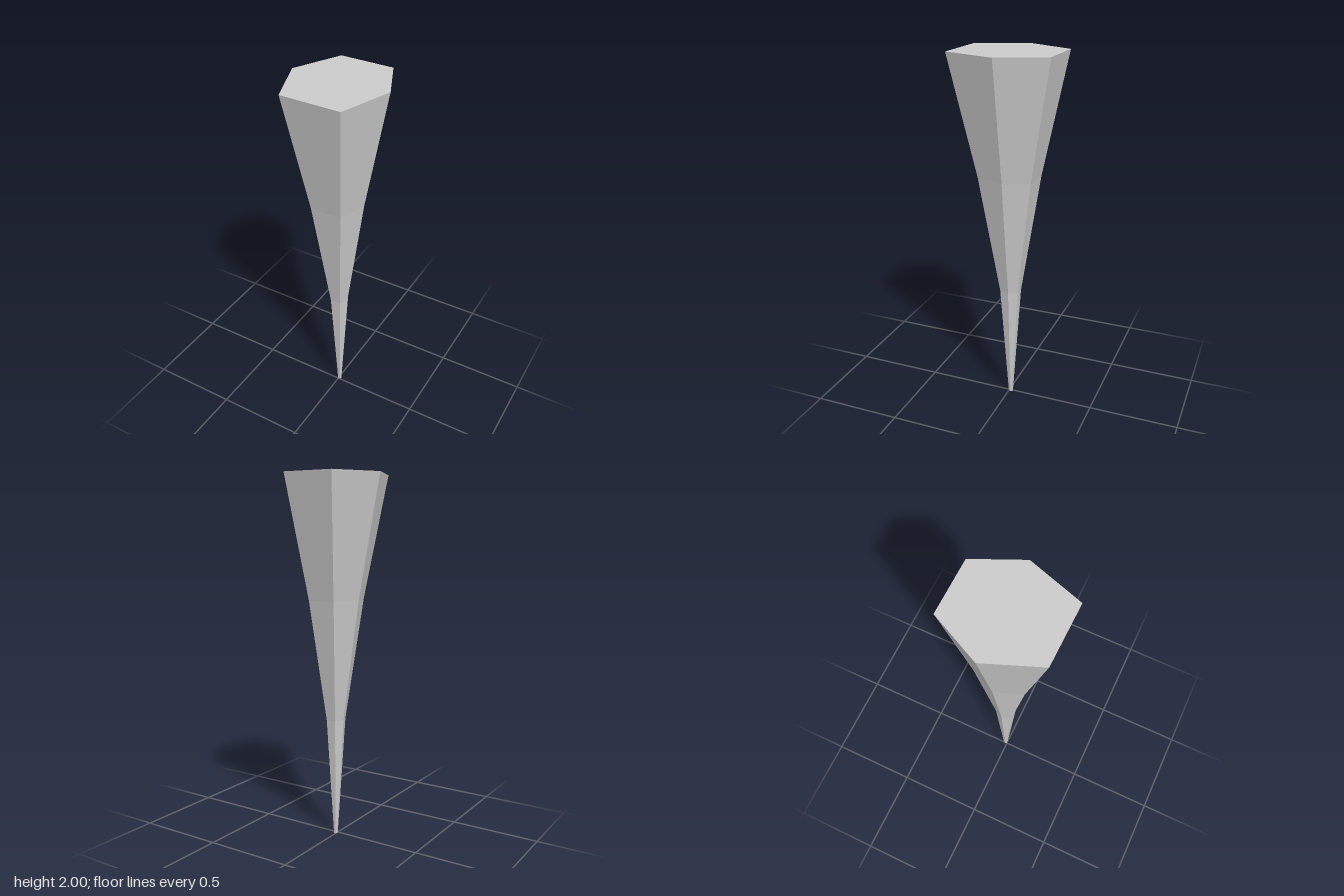
import * as THREE from 'three';

// Slightly irregular hexagon of the broad end: [x, z], clockwise seen from above
const OUTLINE = [
  [-0.143, -0.275], [0.152, -0.27], [0.266, -0.017],
  [0.172, 0.272], [-0.157, 0.265], [-0.268, -0.017],
];
// Point the spike tapers towards
const TIP = [0.0055, -0.0115];
// Rings from tip to broad end: [height, scale of the outline]
const RINGS = [[0, 0.039], [0.67, 0.188], [1.34, 0.54], [2, 1]];

function createSpikeGeometry() {
  const rings = RINGS.map(([y, s]) => OUTLINE.map(([x, z]) => [
    TIP[0] + (x - TIP[0]) * s, y, TIP[1] + (z - TIP[1]) * s,
  ]));
  const positions = [];
  const tri = (...corners) => corners.forEach((c) => positions.push(...c));
  const n = OUTLINE.length;

  // Six tapering sides
  for (let r = 0; r < rings.length - 1; r++) {
    const low = rings[r], up = rings[r + 1];
    for (let i = 0; i < n; i++) {
      const j = (i + 1) % n;
      tri(low[i], up[i], up[j]);
      tri(low[i], up[j], low[j]);
    }
  }
  // Flat caps at both ends
  const bottom = rings[0], top = rings[rings.length - 1];
  for (let i = 1; i < n - 1; i++) {
    tri(top[0], top[i + 1], top[i]);
    tri(bottom[0], bottom[i], bottom[i + 1]);
  }

  const geometry = new THREE.BufferGeometry();
  geometry.setAttribute('position', new THREE.Float32BufferAttribute(positions, 3));
  geometry.computeVertexNormals();
  return geometry;
}

export function createModel() {
  const group = new THREE.Group();
  group.name = 'hexagonalSpike';
  const material = new THREE.MeshStandardMaterial({ color: 0xcccccc, flatShading: true });
  const spike = new THREE.Mesh(createSpikeGeometry(), material);
  spike.name = 'spike';
  group.add(spike);
  return group;
}
